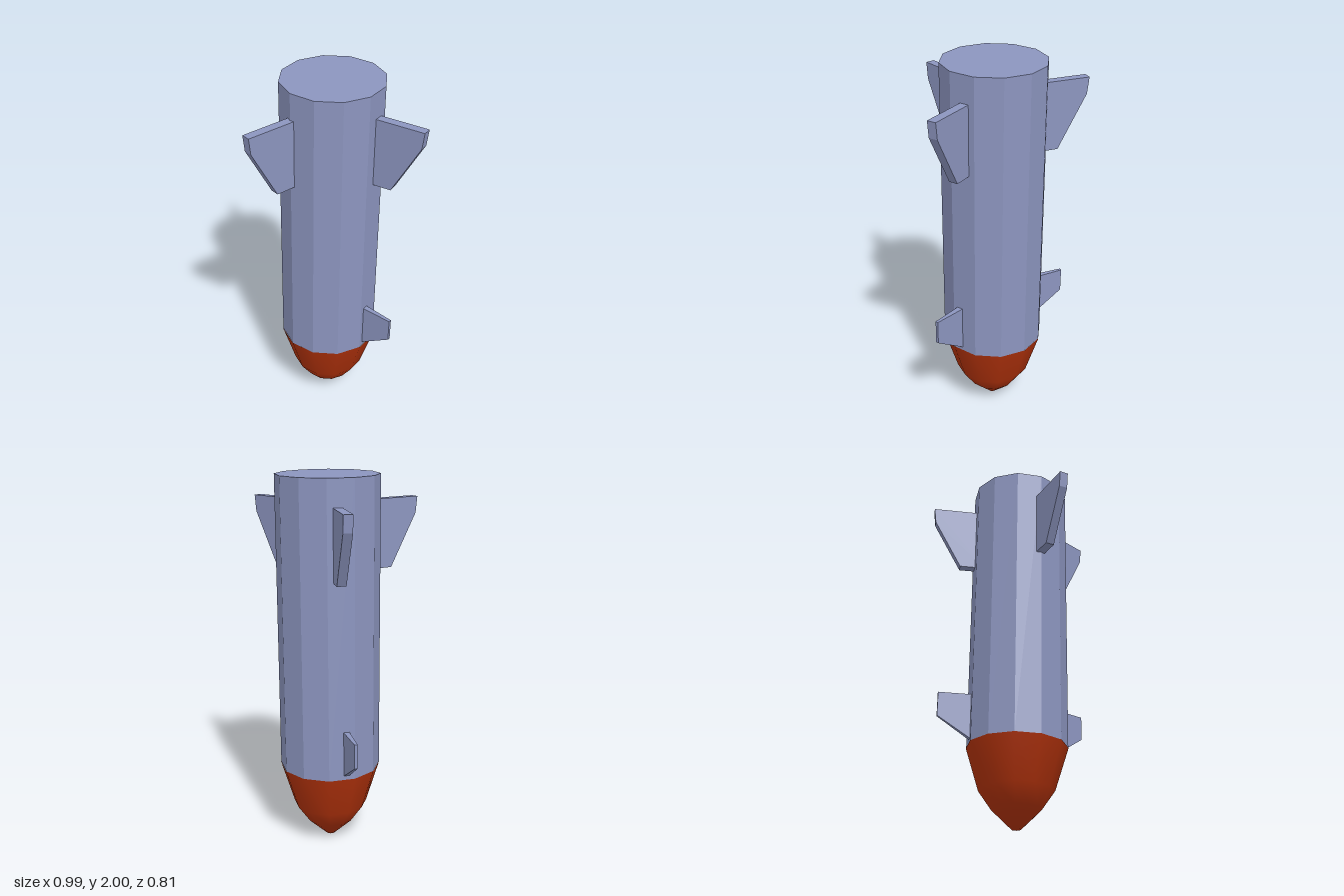
import * as THREE from 'three';

const deg = Math.PI / 180;
const bodyMat = new THREE.MeshStandardMaterial({ color: 0x8c95bf, flatShading: true });
const noseMat = new THREE.MeshStandardMaterial({ color: 0xb5330c });

// Upright plate: outline in (radius, height), turned about y; thickness may taper towards the tip
function fin(name, outline, angle, rootThick, tipThick, rootR, tipR) {
  const shape = new THREE.Shape(outline.map(([r, y]) => new THREE.Vector2(r, y)));
  const geo = new THREE.ExtrudeGeometry(shape, { depth: 1, bevelEnabled: false });
  geo.translate(0, 0, -0.5);
  const p = geo.attributes.position;
  for (let i = 0; i < p.count; i++) {
    const t = (p.getX(i) - rootR) / (tipR - rootR);
    p.setZ(i, p.getZ(i) * THREE.MathUtils.lerp(rootThick, tipThick, t));
  }
  geo.computeVertexNormals();
  const mesh = new THREE.Mesh(geo, bodyMat);
  mesh.name = name;
  mesh.rotation.y = angle * deg;
  return mesh;
}

// Large fin near the flat end
function upperFin(name, angle, reach) {
  const outline = [[0.2, 1.49], [reach - 0.162, 1.49], [reach - 0.01, 1.77], [reach, 1.858], [0.2, 1.858]];
  return fin(name, outline, angle, 0.048, 0.048, 0.2, reach);
}

// Small tapering fin just above the nose
function lowerFin(name, angle, reach) {
  const outline = [[0.24, 0.436], [reach, 0.567], [reach, 0.698], [0.24, 0.698]];
  return fin(name, outline, angle, 0.034, 0.016, 0.24, reach);
}

export function createModel() {
  const model = new THREE.Group();
  model.name = 'finnedRocket';

  // Everything leans very slightly around the nose tip
  const tilted = new THREE.Group();
  tilted.name = 'rocket';
  tilted.position.set(-0.017, 0, -0.133);
  tilted.rotation.z = -0.005;
  model.add(tilted);

  // Twelve-sided body
  const body = new THREE.Mesh(new THREE.CylinderGeometry(0.27, 0.27, 1.57, 12), bodyMat);
  body.name = 'body';
  body.position.y = 1.215;
  tilted.add(body);

  // Smooth nose pointing down
  const profile = [[0, 0], [0.025, 0], [0.13, 0.1], [0.2, 0.2], [0.272, 0.432]];
  const nose = new THREE.Mesh(
    new THREE.LatheGeometry(profile.map(([r, y]) => new THREE.Vector2(r, y)), 12), noseMat);
  nose.name = 'noseCone';
  tilted.add(nose);

  // Three upper fins
  const front = upperFin('upperFinFront', -90, 0.533);
  front.position.x = -0.003;
  tilted.add(front, upperFin('upperFinLeft', 17.8, 0.522), upperFin('upperFinRight', 180 - 18.3, 0.507));

  // Two lower fins
  const lowerRight = lowerFin('lowerFinRight', 180 - 14.6, 0.443);
  lowerRight.position.z = 0.024;
  tilted.add(lowerFin('lowerFinLeft', 8.5, 0.438), lowerRight);

  return model;
}
